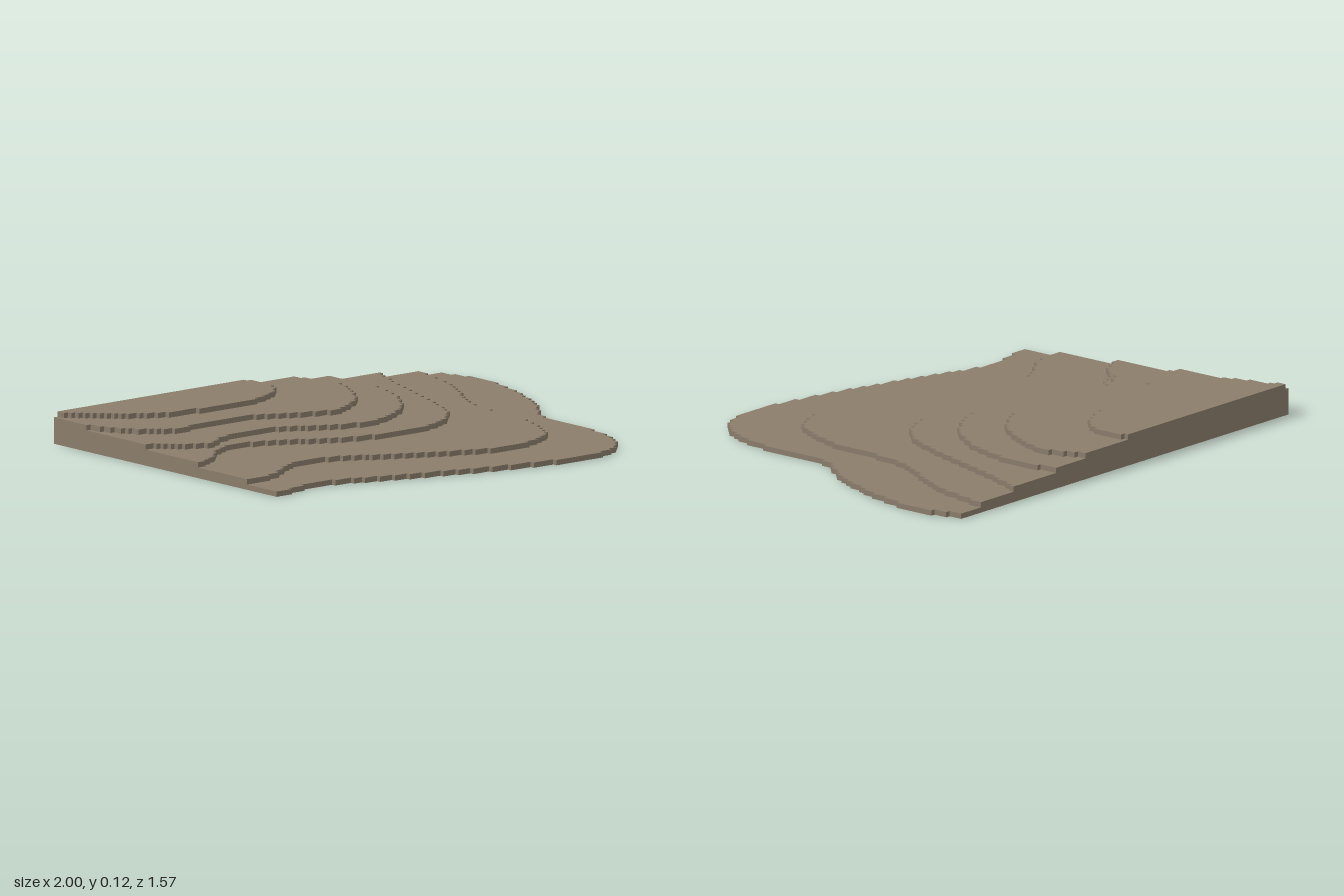
import * as THREE from 'three';

const CELL = 2 / 102;          // horizontal grid step
const STEP = 0.125 / 6;        // height of one terrace

// Contour of each terrace, as [x, z] from the left wall round to the back wall
const contours = [
  [[-1, .56], [-.75, .51], [-.42, .61], [0, .73], [.33, .785], [.54, .74], [.66, .58], [.71, .3], [.72, .1],
    [.84, -.08], [.95, -.34], [1, -.61], [.955, -.785]],
  [[-1, .37], [-.87, .36], [-.66, .245], [-.49, .245], [-.28, .35], [-.01, .48], [.17, .535], [.42, .465],
    [.55, .23], [.6, -.17], [.765, -.49], [.85, -.785]],
  [[-1, .083], [-.9, .04], [-.78, -.065], [-.66, -.105], [-.475, -.04], [-.25, .08], [.02, .125], [.2, .085],
    [.35, -.024], [.45, -.25], [.54, -.52], [.645, -.785]],
  [[-1, -.25], [-.795, -.105], [-.65, -.168], [-.405, -.168], [-.2, -.06], [-.03, -.025], [.2, -.135],
    [.35, -.34], [.415, -.64], [.38, -.785]],
  [[-1, -.6], [-.92, -.43], [-.76, -.315], [-.67, -.333], [-.395, -.333], [-.24, -.255], [-.05, -.205],
    [.14, -.335], [.27, -.6], [.213, -.785]],
  [[-1, -.785], [-.82, -.595], [-.67, -.5], [-.52, -.48], [-.235, -.48], [-.06, -.58], [-.016, -.7], [-.037, -.785]],
];

// Trace a smooth contour, snap it to the grid and return a stepped outline
function steppedShape(points) {
  const curve = new THREE.CatmullRomCurve3(points.map(([x, z]) => new THREE.Vector3(x, 0, z)));
  const outline = [];
  const add = (i, j) => {
    const last = outline[outline.length - 1];
    if (!last || last[0] !== i || last[1] !== j) outline.push([i, j]);
  };
  for (const p of curve.getPoints(800)) {
    const i = THREE.MathUtils.clamp(Math.round(p.x / CELL), -51, 51);
    const j = THREE.MathUtils.clamp(Math.round(p.z / CELL), -40, 40);
    const last = outline[outline.length - 1];
    if (last && last[0] !== i && last[1] !== j) add(i, last[1]);
    add(i, j);
  }
  // close along the straight back wall
  if (outline[0][1] !== -40) add(-51, -40);

  // keep only the corners
  const corners = outline.filter(([i, j], k) => {
    const a = outline[(k + outline.length - 1) % outline.length];
    const b = outline[(k + 1) % outline.length];
    return (i - a[0]) * (b[1] - j) !== (j - a[1]) * (b[0] - i);
  });
  return new THREE.Shape(corners.map(([i, j]) => new THREE.Vector2(i * CELL, -j * CELL)));
}

export function createModel() {
  const model = new THREE.Group();
  model.name = 'terracedHill';
  const earth = new THREE.MeshStandardMaterial({ color: 0x8b7d6b });
  earth.name = 'earthBrown';

  // Terraces stacked from the ground up
  contours.forEach((points, level) => {
    const geometry = new THREE.ExtrudeGeometry(steppedShape(points), { depth: STEP, bevelEnabled: false });
    geometry.rotateX(-Math.PI / 2);
    geometry.translate(0, level * STEP, 0);
    const terrace = new THREE.Mesh(geometry, earth);
    terrace.name = `terrace${level + 1}`;
    model.add(terrace);
  });
  return model;
}
